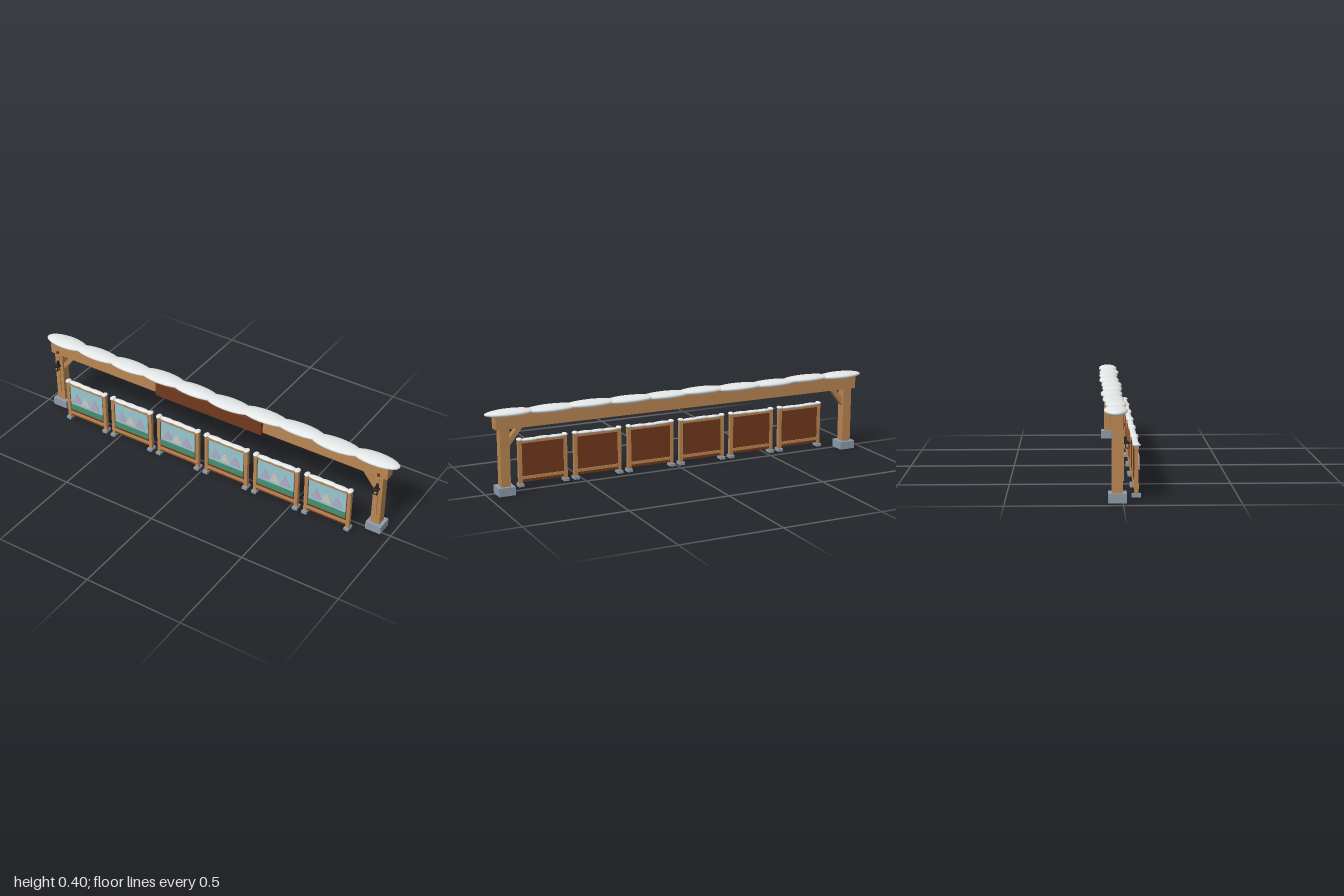
import * as THREE from 'three';

const mat = (name, color) => {
  const m = new THREE.MeshStandardMaterial({ color });
  m.name = name;
  return m;
};

export function createModel() {
  const wood = mat('wood', 0xb98653);
  const darkWood = mat('dark wood', 0x71391d);
  const snow = mat('snow', 0xeef1f1);
  const stone = mat('stone', 0x8d9bab);
  const iron = mat('iron', 0x2a2426);
  const amber = mat('amber glass', 0xc98a48);
  const sky = mat('sky blue', 0x97c6d0);
  const grass = mat('grass green', 0x459070);
  const lavender = mat('mountain lavender', 0xb3a9c4);
  const cream = mat('mountain cream', 0xcbc8bf);

  const model = new THREE.Group();
  model.name = 'woodenGateAndPanels';

  const add = (parent, name, geometry, material, x, y, z) => {
    const mesh = new THREE.Mesh(geometry, material);
    mesh.name = name;
    mesh.position.set(x, y, z);
    parent.add(mesh);
    return mesh;
  };
  // Box given by x centre and width, and y and z ranges
  const box = (parent, name, material, x, w, y0, y1, z0, z1) =>
    add(parent, name, new THREE.BoxGeometry(w, y1 - y0, z1 - z0), material, x, (y0 + y1) / 2, (z0 + z1) / 2);
  const ball = new THREE.SphereGeometry(1, 20, 12);
  const mound = (parent, name, x, y, z, rx, ry, rz) =>
    add(parent, name, ball, snow, x, y, z).scale.set(rx, ry, rz);
  const group = (parent, name, x = 0) => {
    const g = new THREE.Group();
    g.name = name;
    g.position.x = x;
    parent.add(g);
    return g;
  };

  // Gate: beam, sign board and snow
  const gate = group(model, 'gate');
  box(gate, 'beam', wood, 0, 1.914, 0.313, 0.378, -0.051, 0.001);
  box(gate, 'signBoard', darkWood, 0, 0.6, 0.308, 0.377, 0.001, 0.018);
  for (let i = 0; i < 10; i++) {
    const x = i === 0 ? -0.873 : i === 9 ? 0.88 : -0.87 + i * 0.1935;
    const end = i === 0 || i === 9;
    mound(gate, 'beamSnow', x, 0.384 + 0.002 * Math.sin(i * 2.1), -0.029 + 0.005 * Math.sin(i * 1.7),
      end ? 0.122 : 0.136, 0.0175, 0.049 + 0.002 * Math.cos(i * 2.3));
  }

  // Gate posts with footings, braces and lanterns
  for (const s of [-1, 1]) {
    const side = group(gate, s < 0 ? 'rightPost' : 'leftPost', s * 0.914);
    box(side, 'footing', stone, 0, 0.08, 0, 0.04, -0.063, 0.016);
    box(side, 'post', wood, 0, 0.046, 0.04, 0.314, -0.047, -0.001);
    box(side, 'postBatten', wood, 0, 0.008, 0.09, 0.305, -0.001, 0.004);
    box(side, 'peg', darkWood, 0, 0.012, 0.322, 0.334, 0.001, 0.01);

    const brace = new THREE.Shape();
    brace.moveTo(0.02, 0.222);
    brace.lineTo(0.093, 0.314);
    brace.lineTo(0.062, 0.314);
    brace.lineTo(0.02, 0.258);
    const braceGeo = new THREE.ExtrudeGeometry(brace, { depth: 0.026, bevelEnabled: false });
    const b = add(side, 'brace', braceGeo, wood, 0, 0, -0.037);
    if (s > 0) {
      b.rotation.y = Math.PI;
      b.position.z = -0.011;
    }

    const lantern = group(side, 'lantern');
    box(lantern, 'lanternBracket', iron, 0, 0.01, 0.256, 0.278, 0.004, 0.014);
    box(lantern, 'lanternArm', iron, 0, 0.008, 0.253, 0.26, -0.001, 0.02);
    box(lantern, 'lanternRoof', iron, 0, 0.027, 0.248, 0.256, 0.004, 0.03);
    box(lantern, 'lanternGlass', amber, 0, 0.015, 0.231, 0.248, 0.011, 0.025);
    box(lantern, 'lanternBase', iron, 0, 0.02, 0.228, 0.232, 0.008, 0.028);
    for (const cx of [-0.008, 0.008])
      for (const cz of [0.011, 0.025])
        box(lantern, 'lanternCorner', iron, cx, 0.003, 0.23, 0.249, cz - 0.0015, cz + 0.0015);
  }

  // Mountain plate shared by all panels
  const peak = new THREE.Shape();
  peak.moveTo(-0.031, 0);
  peak.lineTo(0.031, 0);
  peak.lineTo(0, 0.057);
  const peakGeo = new THREE.ExtrudeGeometry(peak, { depth: 0.004, bevelEnabled: false });

  // Row of six painted panels
  for (let i = 0; i < 6; i++) {
    const panel = group(model, 'panel', (i - 2.5) * 0.278);
    box(panel, 'board', darkWood, 0, 0.212, 0.02, 0.21, 0.055, 0.066);
    box(panel, 'topRail', wood, 0, 0.236, 0.208, 0.22, 0.051, 0.071);
    box(panel, 'bottomRail', wood, 0, 0.236, 0.034, 0.048, 0.05, 0.072);
    box(panel, 'skyPlate', sky, 0, 0.198, 0.096, 0.208, 0.066, 0.069);
    box(panel, 'grassPlate', grass, 0, 0.198, 0.063, 0.096, 0.066, 0.0705);
    for (const k of [-1, 0, 1])
      add(panel, 'mountain', peakGeo, k ? lavender : cream, k * 0.055, 0.115, k ? 0.0725 : 0.073);
    for (const s of [-1, 1]) {
      box(panel, 'panelFoot', stone, s * 0.113, 0.026, 0, 0.014, 0.041, 0.081);
      box(panel, 'panelPost', wood, s * 0.113, 0.018, 0.014, 0.222, 0.052, 0.07);
      mound(panel, 'postSnow', s * 0.113, 0.2265, 0.0615, 0.014, 0.008, 0.0185);
    }
    for (const k of [-1, 0, 1])
      mound(panel, 'railSnow', k * 0.062, 0.222 + 0.001 * ((i + k + 3) % 3), 0.0605, 0.05, 0.008, 0.0145);
  }

  return model;
}
